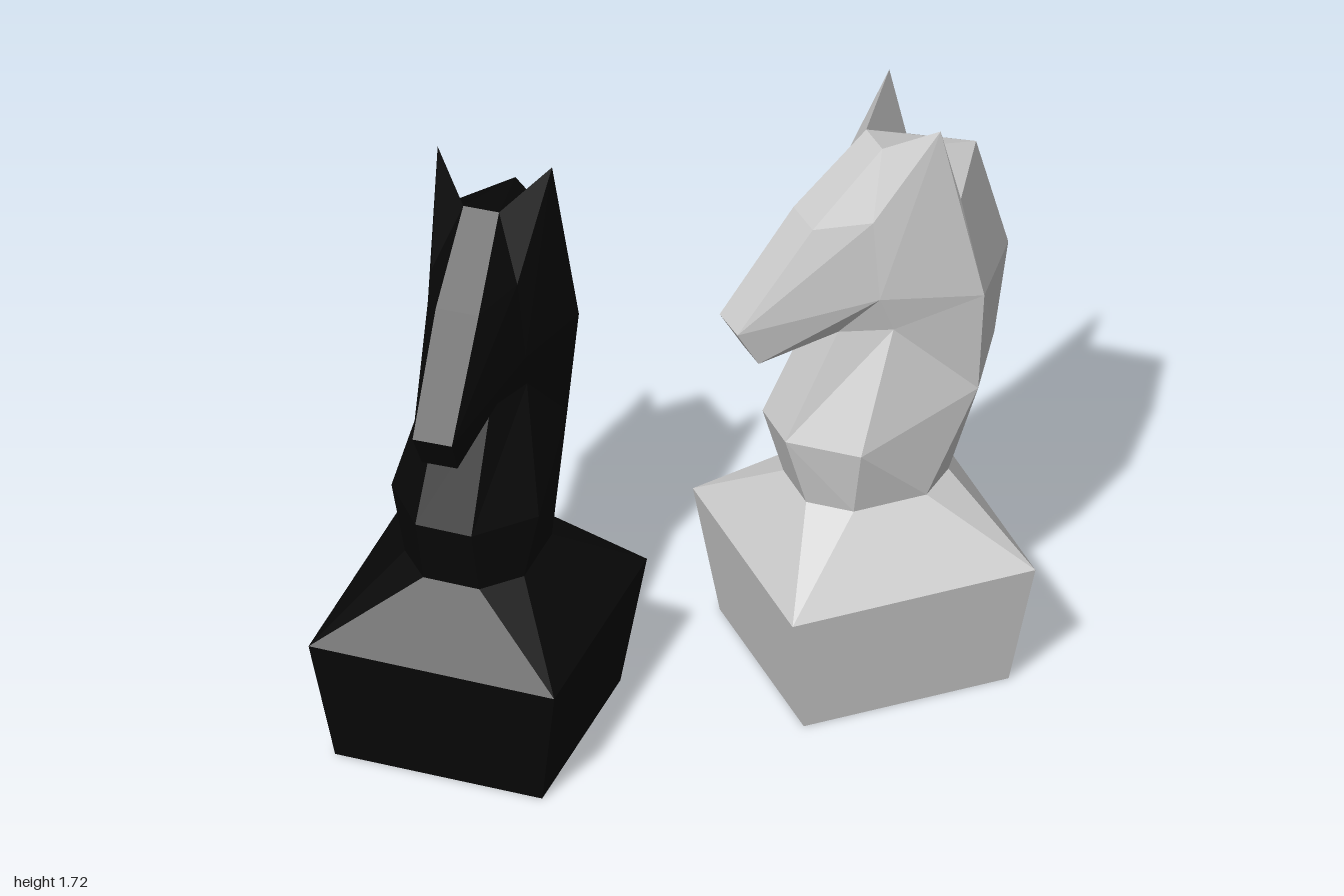
import * as THREE from 'three';

// Named corner points of the left half: nose towards -x, [x, y, z].
// A prime (') in a face list means the mirrored point.
const P = {
  // plinth
  Of: [-0.295, 0, 0.295], Ob: [0.295, 0, 0.295],
  Qf: [-0.35, 0.372, 0.35], Qb: [0.35, 0.372, 0.35],
  // octagon where the neck meets the plinth
  Nf: [-0.2, 0.565, 0.08], Ns: [-0.1, 0.565, 0.17],
  Nt: [0.11, 0.565, 0.17], Nb: [0.21, 0.565, 0.08],
  // chest and neck
  Df: [-0.26, 0.775, 0.08], D: [-0.095, 0.765, 0.21],
  L: [0.265, 0.86, 0.155], H: [0.375, 0.915, 0],
  S: [0.26, 1.18, 0.2], G: [0.425, 1.18, 0],
  Tf: [-0.11, 1.09, 0.07], T: [0.025, 1.095, 0.13],
  // head
  N: [-0.4, 1.155, 0.055], C: [-0.335, 1.04, 0.05],
  M: [-0.18, 1.435, 0.06], F: [0.03, 1.63, 0.05],
  R: [-0.03, 1.45, 0.12], K: [-0.02, 1.21, 0.14],
  E: [0.15, 1.72, 0.16], B: [0.205, 1.49, 0.17], Po: [0.33, 1.535, 0],
};

// sides are mirrored, middle faces cross the symmetry plane
const PARTS = {
  plinth: {
    sides: ['Of Ob Qb Qf', 'Qf Qb Nt Ns', 'Qf Ns Nf', 'Qb Nb Nt'],
    middle: ["Of Qf Qf' Of'", "Ob Ob' Qb' Qb", "Qf Nf Nf' Qf'", "Qb Qb' Nb' Nb"],
  },
  neck: {
    sides: ['Df Nf Ns D', 'D Ns Nt', 'D Nt L', 'T Tf Df D', 'T D L', 'T L S', 'K T S',
      'K Tf T', 'L Nt Nb H', 'S L H G', 'B S G Po'],
    middle: ["Df Df' Nf' Nf", "Tf Tf' Df' Df", "Nb Nb' H"],
  },
  head: {
    sides: ['N C K', 'N K R', 'N R M', 'M R F', 'R K E', 'E K S', 'S B E', 'C Tf K', 'F B Po'],
    middle: ["N N' C' C", "M M' N' N", "F F' M' M", "C C' Tf' Tf", "F Po F'"],
  },
  ears: { sides: ['F R E', 'E B F'], middle: [] },
};

// The upper part is turned slightly further than the plinth
const TWIST = THREE.MathUtils.degToRad(3);

function point(name, flip) {
  const primed = name.endsWith("'");
  const [x, y, z] = P[primed ? name.slice(0, -1) : name];
  const v = new THREE.Vector3(x, y, primed !== flip ? -z : z);
  return y > 1 ? v.applyAxisAngle(new THREE.Vector3(0, 1, 0), TWIST) : v;
}

function facesGeometry({ sides, middle }) {
  const pos = [];
  const add = (face, flip) => {
    const pts = face.split(' ').map((n) => point(n, flip));
    if (flip) pts.reverse();
    for (let i = 1; i < pts.length - 1; i++) {
      for (const v of [pts[0], pts[i], pts[i + 1]]) pos.push(v.x, v.y, v.z);
    }
  };
  for (const f of sides) { add(f, false); add(f, true); }
  for (const f of middle) add(f, false);
  const g = new THREE.BufferGeometry();
  g.setAttribute('position', new THREE.Float32BufferAttribute(pos, 3));
  g.computeVertexNormals();
  return g;
}

function makeKnight(name, color, x, z, degrees) {
  // hollow shell, open underneath
  const material = new THREE.MeshStandardMaterial({ color, flatShading: true, side: THREE.DoubleSide });
  const knight = new THREE.Group();
  knight.name = name;
  for (const [part, faces] of Object.entries(PARTS)) {
    const mesh = new THREE.Mesh(facesGeometry(faces), material);
    mesh.name = part;
    knight.add(mesh);
  }
  knight.position.set(x, 0, z);
  knight.rotation.y = THREE.MathUtils.degToRad(degrees);
  return knight;
}

export function createModel() {
  const model = new THREE.Group();
  model.name = 'chessKnights';
  model.add(
    makeKnight('blackKnight', 0x080808, -0.51, 0, 52),
    makeKnight('whiteKnight', 0xcccccc, 0.575, -0.02, 5),
  );
  return model;
}
